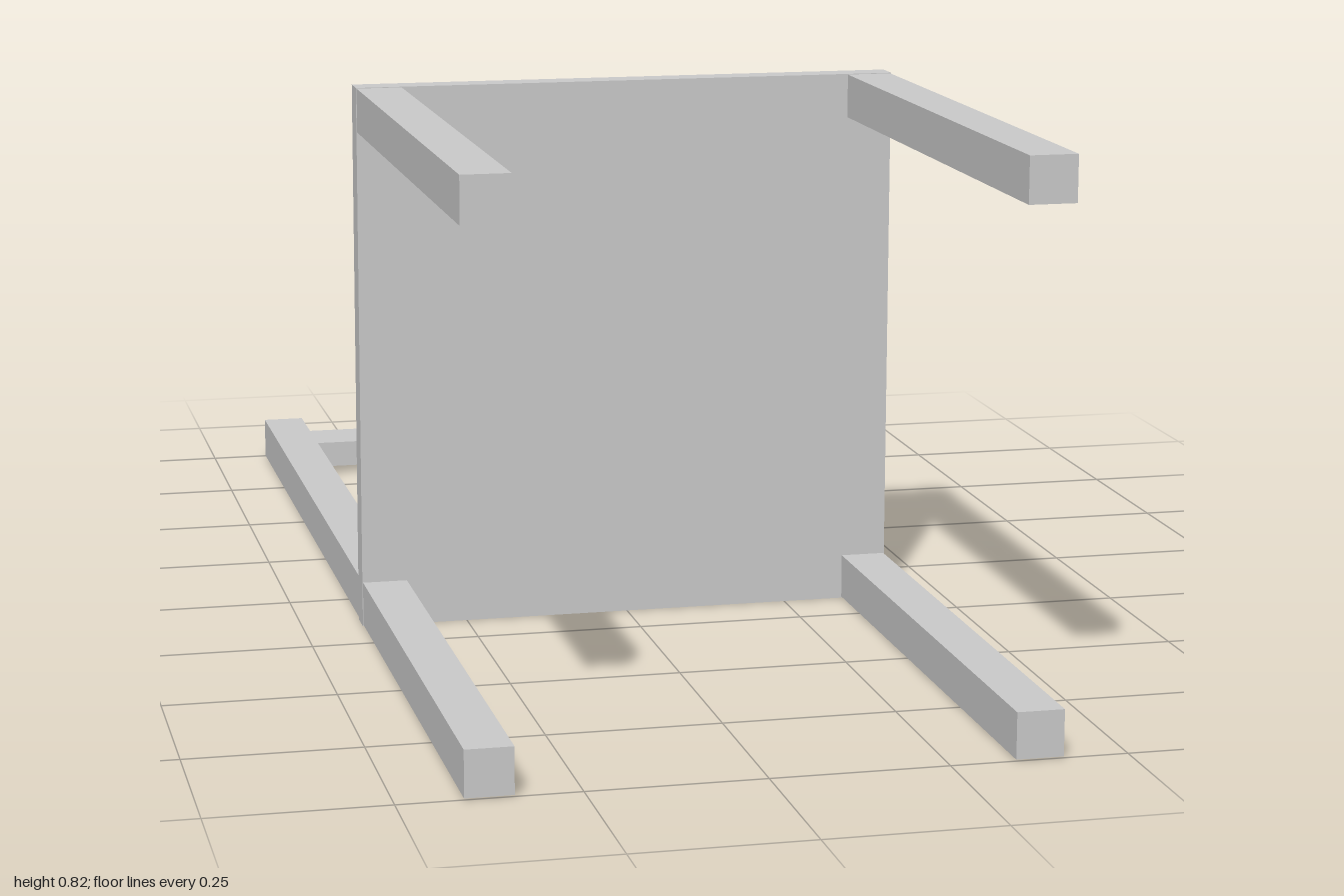
import * as THREE from 'three';

const material = new THREE.MeshStandardMaterial({ color: 0xcccccc, flatShading: true });

// Box given by its limits on each axis; the edges of its -z end can be chamfered.
function bar(name, [x0, x1], [y0, y1], [z0, z1], chamfer = 0) {
  const w = x1 - x0, h = y1 - y0, d = z1 - z0;
  let geometry = new THREE.BoxGeometry(w, h, d, 1, 1, chamfer ? 2 : 1);
  if (chamfer) {
    const p = geometry.attributes.position;
    for (let i = 0; i < p.count; i++) {
      const z = p.getZ(i);
      if (Math.abs(z) < 1e-6) p.setZ(i, -d / 2 + chamfer);
      else if (z < 0) {
        p.setX(i, p.getX(i) - Math.sign(p.getX(i)) * chamfer);
        p.setY(i, p.getY(i) - Math.sign(p.getY(i)) * chamfer);
      }
    }
    geometry = geometry.toNonIndexed();
    geometry.computeVertexNormals();
  }
  const mesh = new THREE.Mesh(geometry, material);
  mesh.name = name;
  mesh.position.set((x0 + x1) / 2, (y0 + y1) / 2, (z0 + z1) / 2);
  return mesh;
}

// A chair lying on its back: the seat stands upright and the legs point to +z.
export function createModel() {
  const chair = new THREE.Group();
  chair.name = 'chair';

  // Seat panel with chamfered upper edges
  chair.add(bar('seat', [-0.41, 0.41], [0, 0.82], [0.11, 0.157], 0.007));

  // Front legs, and back legs that run on into the backrest posts
  for (const [side, x] of [['left', [0.342, 0.409]], ['right', [-0.409, -0.342]]]) {
    chair.add(bar(side + 'FrontLeg', x, [0.754, 0.819], [0.15, 1]));
    chair.add(bar(side + 'BackLegAndPost', x, [0.002, 0.068], [-1, 1], 0.006));
  }

  // Backrest rails and slats
  const backrest = new THREE.Group();
  backrest.name = 'backrest';
  backrest.add(bar('topRail', [-0.345, 0.345], [0.013, 0.056], [-0.94, -0.84]));
  backrest.add(bar('lowerRail', [-0.345, 0.345], [0.013, 0.056], [-0.257, -0.157]));
  for (const x of [-0.221, -0.062, 0.059, 0.218]) {
    backrest.add(bar('slat', [x - 0.038, x + 0.038], [0.02, 0.048], [-0.845, -0.25]));
  }
  chair.add(backrest);
  return chair;
}
